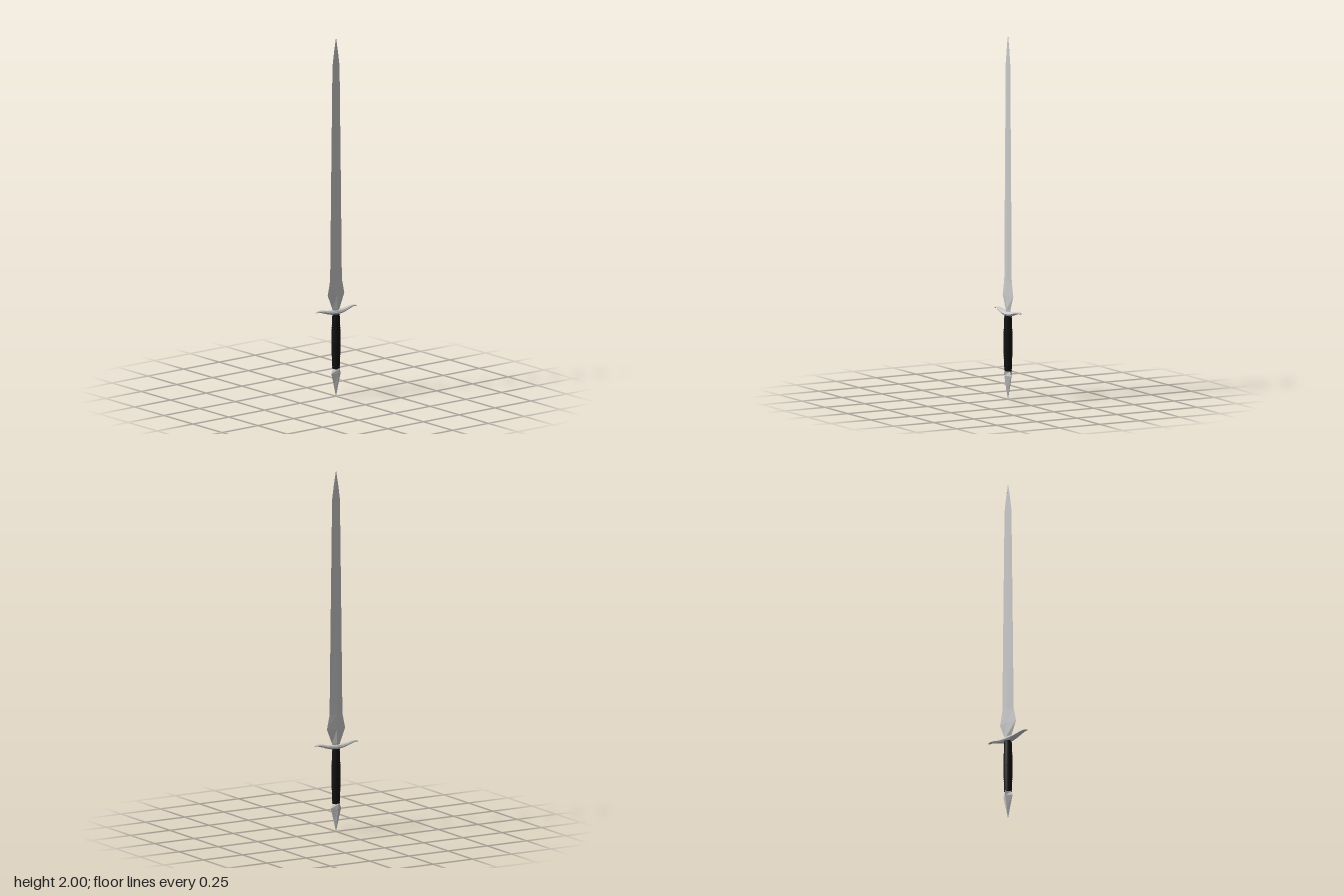
import * as THREE from 'three';

// Skin a list of equal-length rings (arrays of [x, y, z]) and cap both ends.
function loft(rings) {
  const pos = [];
  const n = rings[0].length;
  const tri = (a, b, c) => pos.push(...a, ...b, ...c);
  for (let i = 0; i < rings.length - 1; i++) {
    const lo = rings[i], hi = rings[i + 1];
    for (let j = 0; j < n; j++) {
      const k = (j + 1) % n;
      tri(lo[j], hi[j], lo[k]);
      tri(lo[k], hi[j], hi[k]);
    }
  }
  const first = rings[0], last = rings[rings.length - 1];
  for (let j = 1; j < n - 1; j++) {
    tri(first[0], first[j], first[j + 1]);
    tri(last[0], last[j + 1], last[j]);
  }
  const geo = new THREE.BufferGeometry();
  geo.setAttribute('position', new THREE.Float32BufferAttribute(pos, 3));
  geo.computeVertexNormals();
  return geo;
}

// Diamond cross-section at height y, half thickness hx and half width hz.
const diamond = ([y, hx, hz]) => [[hx, y, 0], [0, y, hz], [-hx, y, 0], [0, y, -hz]];

export function createModel() {
  const sword = new THREE.Group();
  sword.name = 'sword';
  const metal = new THREE.MeshStandardMaterial({ color: 0xcccccc, flatShading: true });
  const leather = new THREE.MeshStandardMaterial({ color: 0x111111 });

  const add = (name, geo, mat) => {
    const mesh = new THREE.Mesh(geo, mat);
    mesh.name = name;
    sword.add(mesh);
  };

  // Blade: flared base, long taper, pointed tip
  add('blade', loft([
    [0.465, 0.013, 0.022],
    [0.49, 0.012, 0.026],
    [0.57, 0.011, 0.058],
    [0.65, 0.009, 0.041],
    [1.2, 0.006, 0.034],
    [1.84, 0.004, 0.025],
    [1.92, 0.003, 0.014],
    [2.0, 0.0004, 0.0004],
  ].map(diamond)), metal);

  // Crossguard: z, centre height, half thickness, half height
  const half = [
    [0, 0.47, 0.021, 0.014],
    [0.03, 0.471, 0.02, 0.0125],
    [0.06, 0.476, 0.017, 0.01],
    [0.09, 0.484, 0.0135, 0.008],
    [0.11, 0.488, 0.011, 0.006],
    [0.125, 0.489, 0.0085, 0.0045],
    [0.138, 0.486, 0.006, 0.003],
  ];
  const stations = [...half.slice(1).reverse().map(([z, ...r]) => [-z, ...r]), ...half];
  add('crossguard', loft(stations.map(([z, y, hx, hy]) =>
    Array.from({ length: 8 }, (_, j) => {
      const a = j / 8 * Math.PI * 2;
      return [hx * Math.cos(a), y - hy * Math.sin(a), z];
    }))), metal);

  // Grip: gently swollen handle with wrapped ridges
  const profile = [new THREE.Vector2(0, 0.155)];
  const steps = 60;
  for (let i = 0; i <= steps; i++) {
    const t = i / steps;
    const swell = 0.0195 + 0.0045 * Math.sin(Math.PI * t);
    profile.push(new THREE.Vector2(swell + (i % 2 ? 0.001 : 0), 0.155 + 0.305 * t));
  }
  profile.push(new THREE.Vector2(0, 0.46));
  add('grip', new THREE.LatheGeometry(profile, 20), leather);

  // Raised band around the middle of the grip
  const band = new THREE.TorusGeometry(0.0225, 0.003, 6, 20);
  band.rotateX(Math.PI / 2);
  band.translate(0, 0.308, 0);
  add('gripBand', band, leather);

  // Pommel: faceted spike pointing down
  add('pommel', loft([
    [0, 0.0004, 0.0004],
    [0.06, 0.012, 0.015],
    [0.13, 0.023, 0.033],
    [0.155, 0.025, 0.021],
    [0.163, 0.02, 0.016],
  ].map(diamond)), metal);

  return sword;
}
